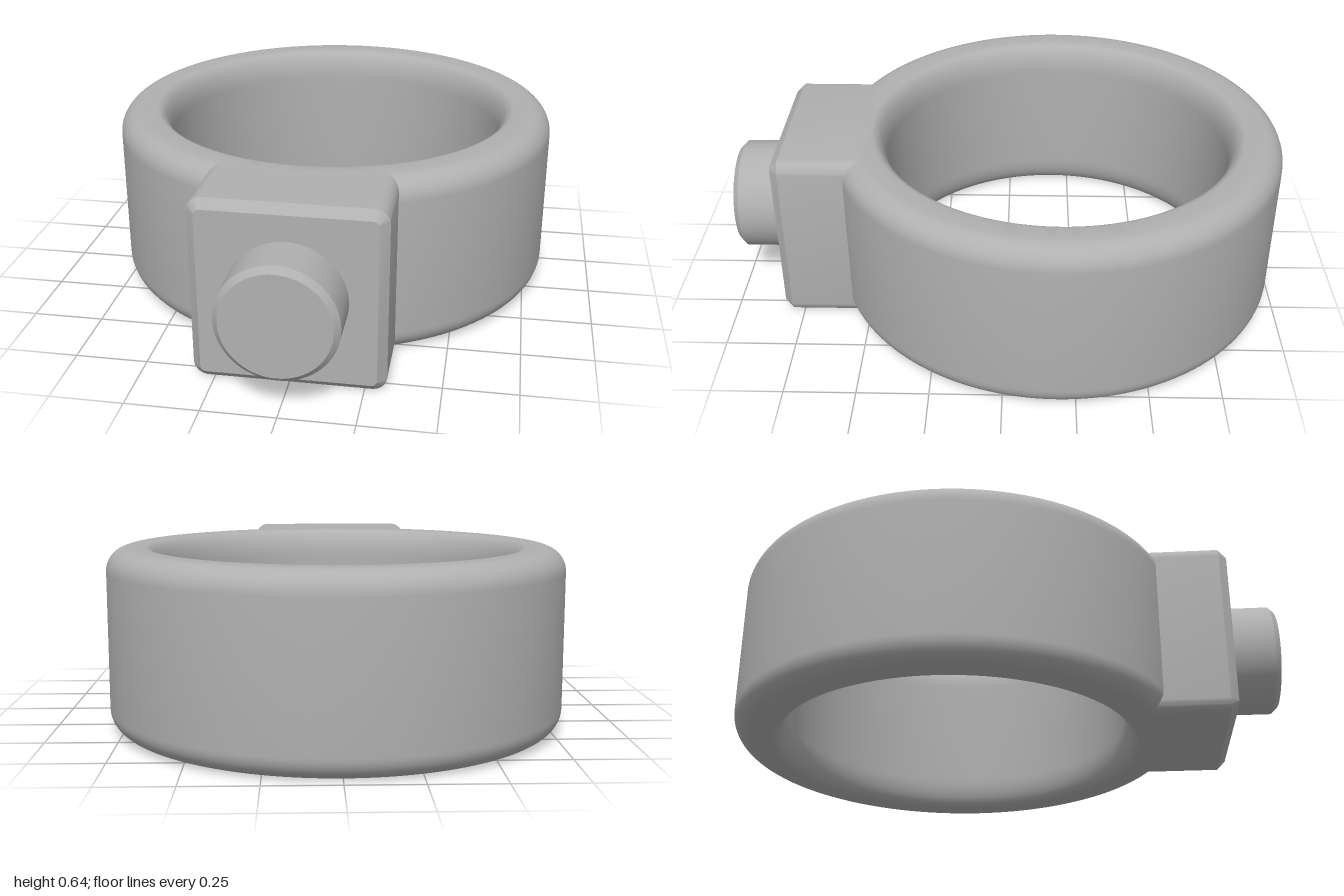
import * as THREE from 'three';
import { toCreasedNormals } from 'three/addons/utils/BufferGeometryUtils.js';

const H = 0.645;            // band height
const MID = H / 2;
const CREASE = 0.6;

// Quarter ellipse from angle a0 to a1 (degrees) around (cx, cy)
function arc(cx, cy, rx, ry, a0, a1, steps = 10) {
  return Array.from({ length: steps + 1 }, (_, i) => {
    const a = THREE.MathUtils.degToRad(a0 + (a1 - a0) * i / steps);
    return new THREE.Vector2(cx + rx * Math.cos(a), cy + ry * Math.sin(a));
  });
}

function roundedSquare(h, r) {
  const s = new THREE.Shape();
  const k = h - r;
  s.absarc(k, k, r, 0, Math.PI / 2);
  s.absarc(-k, k, r, Math.PI / 2, Math.PI);
  s.absarc(-k, -k, r, Math.PI, Math.PI * 1.5);
  s.absarc(k, -k, r, Math.PI * 1.5, Math.PI * 2);
  s.closePath();
  return s;
}

export function createModel() {
  const group = new THREE.Group();
  const grey = new THREE.MeshStandardMaterial({ color: 0xb0b0b0 });
  grey.name = 'grey';

  const add = (name, geometry, y, z) => {
    const mesh = new THREE.Mesh(toCreasedNormals(geometry, CREASE), grey);
    mesh.name = name;
    mesh.position.set(0, y, z);
    group.add(mesh);
    return mesh;
  };

  // Ring band: rounded outer edges, softer lead-in on the bore
  const R = 0.815, f = 0.08, bore = 0.625, w = 0.055, d = 0.11;
  const profile = [
    ...arc(R - f, f, f, f, -90, 0),
    ...arc(R - f, H - f, f, f, 0, 90),
    ...arc(bore + w, H - d, w, d, 90, 180),
    ...arc(bore + w, d, w, d, 180, 270),
  ];
  profile.push(profile[0].clone());
  add('ringBand', new THREE.LatheGeometry(profile, 128), 0, -0.185);

  // Square boss with a chamfered front, sunk into the band
  const c = 0.03;
  const boss = new THREE.ExtrudeGeometry(roundedSquare(MID - c, 0.02), {
    depth: 0.29, bevelEnabled: true, bevelSize: c, bevelThickness: c, bevelSegments: 1, curveSegments: 6,
  });
  add('mountingBoss', boss, MID, 0.5);

  // Round stud with a chamfered end
  const stud = new THREE.LatheGeometry([
    new THREE.Vector2(0.2, 0), new THREE.Vector2(0.2, 0.2),
    new THREE.Vector2(0.18, 0.22), new THREE.Vector2(0, 0.22),
  ], 64);
  stud.rotateX(Math.PI / 2);
  add('stud', stud, MID + 0.003, 0.78);

  return group;
}
